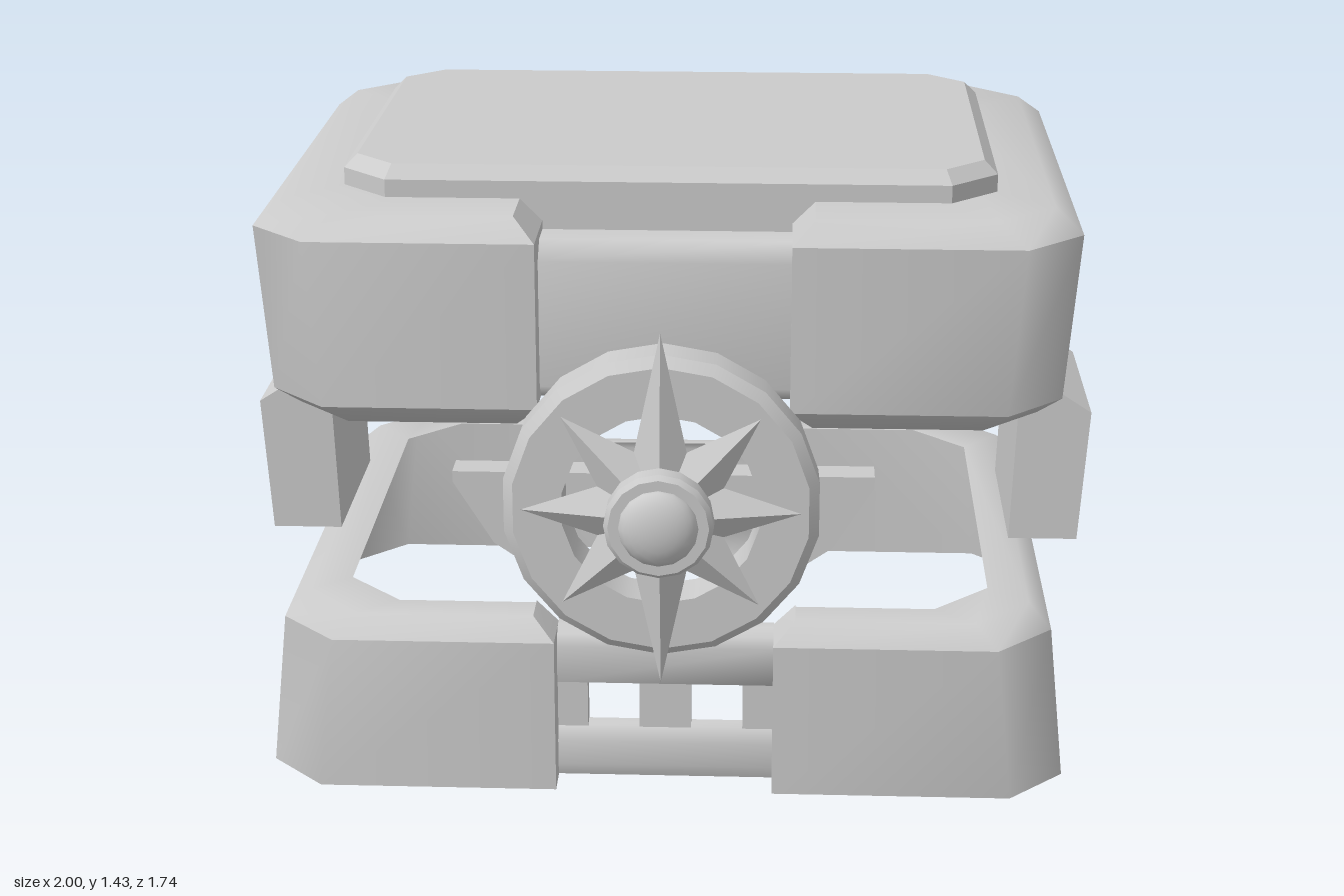
import * as THREE from 'three';

const CZ = -0.13; // centre of the chest along z
const mat = new THREE.MeshStandardMaterial({ color: 0xcccccc, side: THREE.DoubleSide });
const flat = new THREE.MeshStandardMaterial({ color: 0xcccccc, side: THREE.DoubleSide, flatShading: true });
const oneSided = new THREE.MeshStandardMaterial({ color: 0xcccccc });

function add(parent, name, geometry, material = flat, x = 0, y = 0, z = 0) {
  const mesh = new THREE.Mesh(geometry, material);
  mesh.name = name;
  mesh.position.set(x, y, z);
  parent.add(mesh);
  return mesh;
}

const polygon = (pts) => new THREE.Shape(pts.map(([x, y]) => new THREE.Vector2(x, y)));

function octagon(hx, hz, c) {
  return polygon([[hx, c - hz], [hx, hz - c], [hx - c, hz], [c - hx, hz],
    [-hx, hz - c], [-hx, c - hz], [c - hx, -hz], [hx - c, -hz]]);
}

// Smooth surface through rows of [x, y, z] points
function loft(pos, index, rows) {
  const s = pos.length / 3, n = rows[0].length;
  rows.forEach((row, k) => {
    row.forEach((p) => pos.push(...p));
    for (let i = 0; k && i < n - 1; i++) {
      const b = s + k * n + i, a = b - n;
      index.push(a, a + 1, b + 1, a, b + 1, b);
    }
  });
}

function surface(pos, index) {
  const geo = new THREE.BufferGeometry();
  geo.setAttribute('position', new THREE.Float32BufferAttribute(pos, 3));
  if (index) geo.setIndex(index);
  geo.computeVertexNormals();
  return geo;
}

// Half of a chamfered frame. Each band is a list of rows
// [halfWidth, halfDepth, y, gap, end wall depth], smooth inside and sharp to the next.
function halfFrame(bands, cut) {
  const pos = [], index = [];
  const paths = ([hx, hz, y, g, r]) => [
    [[g, r], [g, hz]],
    [[g, hz], [hx - cut, hz], [hx, hz - cut], [hx, cut - hz], [hx - cut, -hz], [g, -hz]],
    [[g, -hz], [g, -r]],
  ].map((path) => path.map(([x, z]) => [x, y, z]));
  for (const band of bands) {
    const rows = band.map(paths);
    for (let j = 0; j < 3; j++) loft(pos, index, rows.map((row) => row[j]));
  }
  return surface(pos, index);
}

// Sheet following a [z, y] profile, running across x
function sheet(profile, halfWidth) {
  const pos = [], index = [];
  loft(pos, index, profile.map(([z, y]) => [[-halfWidth, y, z], [halfWidth, y, z]]));
  return surface(pos, index);
}

// Star of eight ridged points, long ones up and down
function starGeometry() {
  const pos = [];
  const at = (r, a, z) => [r * Math.sin(a), r * Math.cos(a), z];
  for (let i = 0; i < 8; i++) {
    const a = i * Math.PI / 4, h = Math.PI / 8;
    const tip = at(i % 4 === 0 ? 0.41 : 0.308, a, 0);
    const apex = [0, 0, 0.065];
    pos.push(...apex, ...tip, ...at(0.15, a - h, 0), ...apex, ...at(0.15, a + h, 0), ...tip);
  }
  return surface(pos);
}

// Turned part along z with sharp profile corners
function turned(profile, sides) {
  const last = profile.length - 1;
  const pts = profile.flatMap(([r, z], i) => {
    const p = new THREE.Vector2(r, z);
    return i === 0 || i === last ? [p] : [p, p.clone()];
  });
  return new THREE.LatheGeometry(pts, sides).rotateX(Math.PI / 2);
}

export function createModel() {
  const model = new THREE.Group();
  const chest = new THREE.Group();
  chest.name = 'chest';
  chest.position.z = CZ;
  model.add(chest);

  // Base and lid frames, each from two halves
  const base = halfFrame([
    [[0.93, 0.742, 0, 0.25, 0.64], [0.89, 0.742, 0.37, 0.25, 0.61]],
    [[0.89, 0.742, 0.37, 0.25, 0.61], [0.84, 0.7, 0.42, 0.3, 0.61], [0.75, 0.61, 0.415, 0.3, 0.61]],
  ], 0.13);
  const lid = halfFrame([
    [[0.74, 0.61, 1.0, 0.28, 0.61], [0.74, 0.61, 0.88, 0.33, 0.61]],
    [[0.74, 0.61, 0.88, 0.33, 0.61], [0.84, 0.68, 0.88, 0.33, 0.61], [0.89, 0.73, 0.93, 0.28, 0.61]],
    [[0.89, 0.73, 0.93, 0.28, 0.61], [0.92, 0.73, 1.31, 0.28, 0.5]],
    [[0.92, 0.73, 1.31, 0.28, 0.5], [0.86, 0.68, 1.36, 0.33, 0.5], [0.69, 0.5, 1.36, 0.33, 0.5]],
  ], 0.13);

  // Recessed middle sections
  const lidMiddle = sheet([[0.6, 1.0], [0.6, 0.93], [0.63, 0.93], [0.655, 0.96], [0.655, 1.25],
    [0.61, 1.29], [0.5, 1.29]], 0.33);
  const upperRail = sheet([[0.63, 0.24], [0.668, 0.24], [0.668, 0.33], [0.655, 0.355],
    [0.63, 0.37], [0.6, 0.37]], 0.25);
  const lowerRail = sheet([[0.66, 0], [0.67, 0.03], [0.67, 0.09], [0.655, 0.125], [0.625, 0.13]], 0.25);

  for (const [side, turn] of [['left', 0], ['right', Math.PI]]) {
    add(chest, side + 'BaseFrame', base, mat).rotation.y = turn;
    add(chest, side + 'LidFrame', lid, mat).rotation.y = turn;
  }
  for (const [end, turn] of [['front', 0], ['back', Math.PI]]) {
    const middle = new THREE.Group();
    middle.name = end + 'Middle';
    middle.rotation.y = turn;
    chest.add(middle);
    add(middle, 'lidMiddle', lidMiddle, mat);
    add(middle, 'upperRail', upperRail, mat);
    add(middle, 'lowerRail', lowerRail, mat);
    for (const [x, w] of [[-0.215, 0.07], [0, 0.12], [0.215, 0.07]]) {
      add(middle, 'railPost', new THREE.BoxGeometry(w, 0.12, 0.04), flat, x, 0.185, 0.64);
    }
  }

  // Raised plate on the lid, and the ceiling inside it
  const plate = new THREE.ExtrudeGeometry(octagon(0.71, 0.495, 0.09),
    { depth: 0.13, bevelSize: 0.03, bevelThickness: 0.03, bevelSegments: 1 });
  plate.rotateX(-Math.PI / 2);
  add(chest, 'topPlate', plate, flat, 0, 1.27, 0.005);
  const ceiling = new THREE.ShapeGeometry(octagon(0.74, 0.61, 0.13));
  ceiling.rotateX(Math.PI / 2);
  add(chest, 'lidCeiling', ceiling, flat, 0, 1.0, 0);

  // Side brackets between base and lid
  for (const s of [1, -1]) {
    const shape = polygon([[0.815, 0.445], [0.98, 0.445], [1, 0.77], [0.83, 0.88]].map(([x, y]) => [s * x, y]));
    const geo = new THREE.ExtrudeGeometry(shape, { depth: 0.468, bevelEnabled: false });
    add(model, s > 0 ? 'leftBracket' : 'rightBracket', geo, flat, 0, 0, -0.36);
  }

  // Compass clasp on the front
  const clasp = new THREE.Group();
  clasp.name = 'compassClasp';
  clasp.position.y = 0.745;
  model.add(clasp);

  add(clasp, 'ring', turned([[0.22, 0.615], [0.35, 0.615], [0.353, 0.705], [0.33, 0.727],
    [0.22, 0.727], [0.22, 0.615]], 18), mat);
  add(clasp, 'star', starGeometry(), flat, 0, 0, 0.732);
  add(clasp, 'hub', turned([[0, 0.73], [0.08, 0.73], [0.1, 0.77], [0.12, 0.78], [0.12, 0.82],
    [0.11, 0.832], [0.085, 0.832]], 16), mat);
  const dome = new THREE.SphereGeometry(0.088, 16, 6, 0, Math.PI * 2, 0, Math.PI / 2);
  dome.rotateX(Math.PI / 2);
  dome.scale(1, 1, 0.5);
  add(clasp, 'dome', dome, mat, 0, 0, 0.828);

  // Backing bar with drooping arms, and the panel closing it from behind
  const half = [[0.24, -0.085], [0.24, -0.215], [0.3, -0.18], [0.38, -0.125], [0.47, 0.02], [0.47, 0.045]];
  const bar = polygon([...half, ...half.map(([x, y]) => [-x, y]).reverse()]);
  add(clasp, 'backingBar', new THREE.ExtrudeGeometry(bar, { depth: 0.07, bevelEnabled: false }), flat, 0, 0, 0.55);
  add(clasp, 'backPanel', new THREE.PlaneGeometry(0.48, 0.13).rotateY(Math.PI), oneSided, 0, -0.15, 0.55);

  return model;
}
